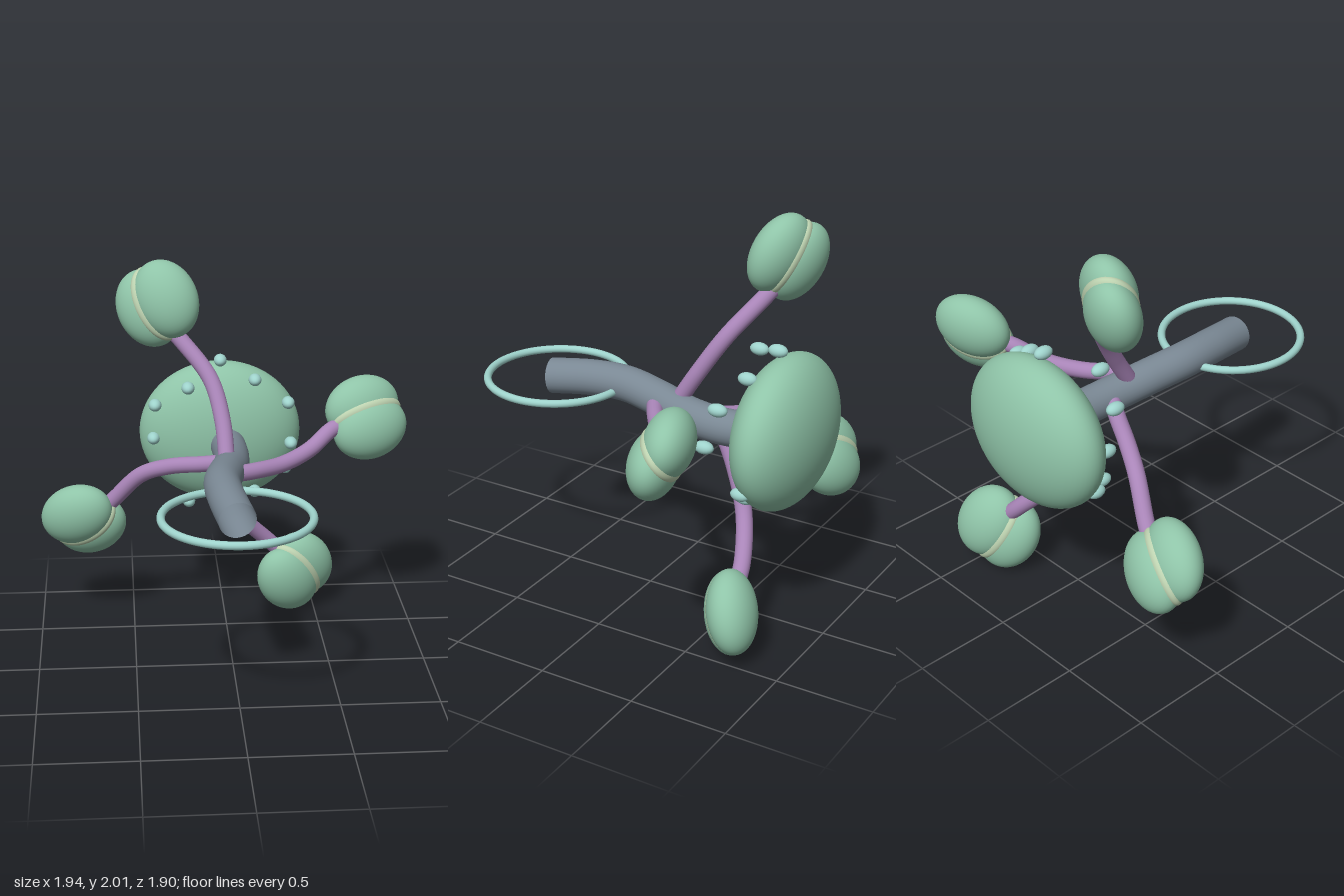
import * as THREE from 'three';

const CX = -0.02, CY = 1.035; // main axis

const mat = (color, side = THREE.FrontSide) => new THREE.MeshStandardMaterial({ color, side });
const green = mat(0x8fc4a8), pale = mat(0xbdd2b0), teal = mat(0x9fd3cc);
const purple = mat(0xa985b8, THREE.DoubleSide), slate = mat(0x7a8894, THREE.DoubleSide);

function add(parent, name, geometry, material, x = 0, y = 0, z = 0) {
  const mesh = new THREE.Mesh(geometry, material);
  mesh.name = name;
  mesh.position.set(x, y, z);
  parent.add(mesh);
  return mesh;
}

const ellipsoid = (a, b, c, w = 48, h = 32) => new THREE.SphereGeometry(1, w, h).scale(a, b, c);

function tube(points, radius, segments = 48, sides = 20) {
  const curve = new THREE.CatmullRomCurve3(points.map(p => new THREE.Vector3(...p)));
  return new THREE.TubeGeometry(curve, segments, radius, sides, false);
}

// Two-lobed pod: local x points outwards, y runs around the main axis
function makePod([x, y, z]) {
  const pod = new THREE.Group();
  pod.name = 'pod';
  const semi = [0.207, 0.165, 0.12];
  const off = [0.055, 0.025];
  for (const s of [1, -1]) {
    add(pod, s > 0 ? 'backLobe' : 'frontLobe', ellipsoid(...semi), green, 0, s * off[0], -s * off[1]);
  }
  // Pale seam filling the crease between the lobes
  const seam = new THREE.SphereGeometry(1, 48, 32).scale(0.985, 0.985, 0.45);
  seam.rotateX(Math.atan2(off[0] / semi[1], off[1] / semi[2]));
  add(pod, 'seam', seam.scale(...semi), pale);
  pod.rotation.set(-0.1, 0.33, Math.atan2(y - CY, x - CX), 'ZYX');
  pod.position.set(x, y, z);
  return pod;
}

export function createModel() {
  const model = new THREE.Group();
  model.name = 'budPlant';

  // Flattened cap at the back
  add(model, 'cap', ellipsoid(0.432, 0.385, 0.203, 64, 40), green, CX, CY, -0.748);

  // Gently winding hollow stem
  add(model, 'stem', tube([
    [-0.02, 1.03, 0.6], [-0.055, 1.055, 0.37], [-0.065, 1.06, 0.18], [-0.035, 1.04, -0.02],
    [0.005, 1.01, -0.22], [0.02, 1.0, -0.42], [0.01, 1.01, -0.58], [-0.01, 1.03, -0.72],
  ], 0.092, 80, 28), slate);

  // Level ring around the open end
  add(model, 'ring', new THREE.TorusGeometry(0.36, 0.02, 14, 80).rotateX(Math.PI / 2), teal, CX, CY, 0.57);

  // Beads circling in front of the cap, stepping in depth and radius
  for (let k = 0; k < 12; k++) {
    const a = k * Math.PI / 6, r = k % 2 ? 0.405 : 0.36;
    add(model, 'bead', ellipsoid(0.034, 0.032, 0.05, 20, 14), teal,
      CX + r * Math.cos(a), CY + r * Math.sin(a), -0.5 - 0.064 * (k % 4));
  }

  // Branches, each ending in a pod
  const branches = [
    { path: [[-0.02, 1.03, -0.13], [-0.035, 1.24, -0.26], [-0.09, 1.43, -0.38], [-0.23, 1.6, -0.5], [-0.31, 1.68, -0.55]],
      pod: [-0.352, 1.785, -0.565] },
    { path: [[-0.01, 1.035, -0.02], [0.12, 1.025, -0.1], [0.27, 1.02, -0.21], [0.42, 1.055, -0.325], [0.545, 1.13, -0.42], [0.63, 1.15, -0.47]],
      pod: [0.737, 1.167, -0.505] },
    { path: [[0, 1.02, -0.26], [-0.13, 0.985, -0.335], [-0.3, 0.945, -0.425], [-0.45, 0.875, -0.505], [-0.59, 0.72, -0.58], [-0.66, 0.64, -0.61]],
      pod: [-0.762, 0.583, -0.63] },
    { path: [[-0.01, 1.02, -0.38], [0.02, 0.81, -0.49], [0.085, 0.6, -0.585], [0.24, 0.42, -0.665], [0.32, 0.34, -0.68]],
      pod: [0.392, 0.225, -0.69] },
  ];
  for (const { path, pod } of branches) {
    add(model, 'branch', tube(path, 0.042), purple);
    model.add(makePod(pod));
  }
  return model;
}
